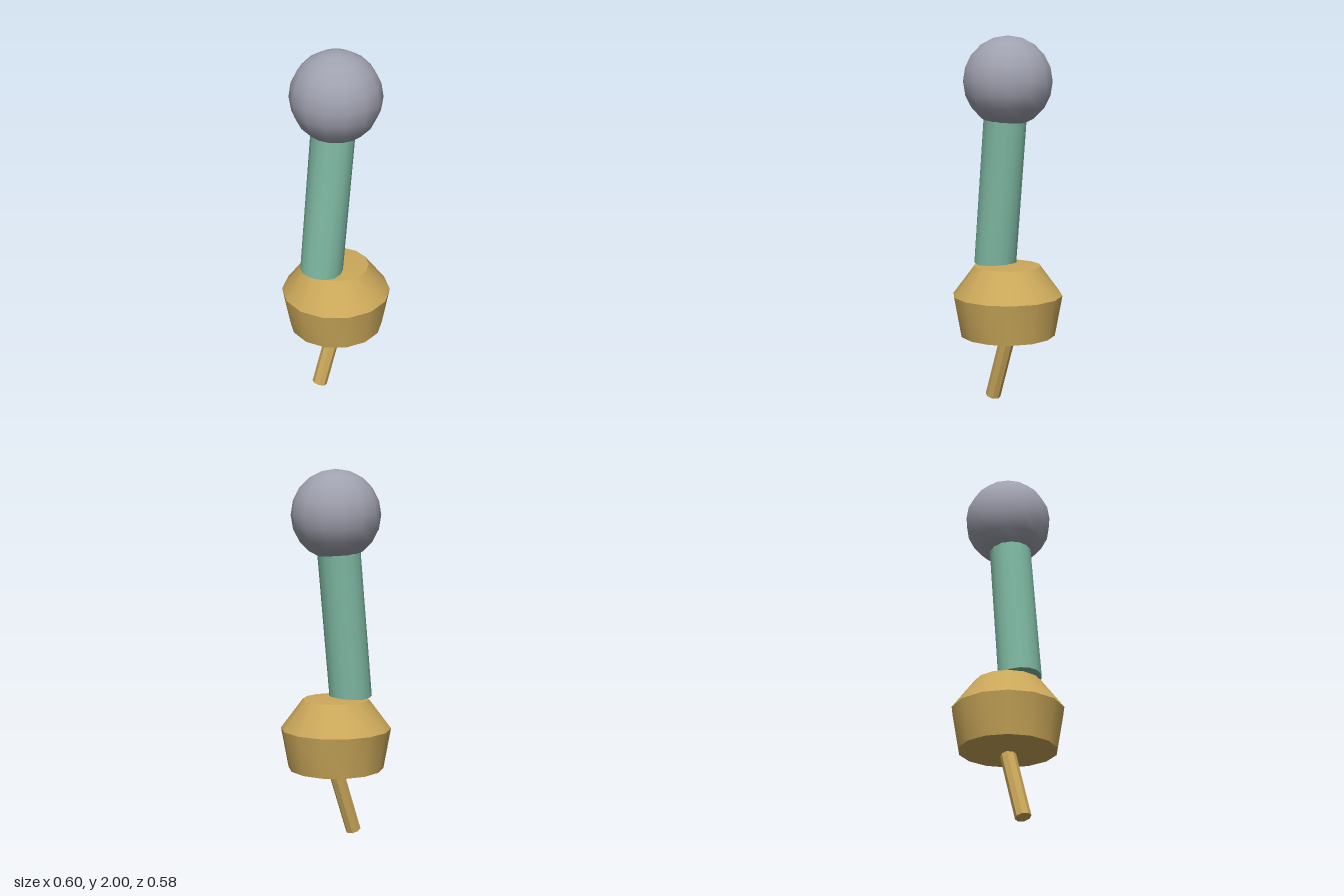
import * as THREE from 'three';
import { toCreasedNormals } from 'three/addons/utils/BufferGeometryUtils.js';

const SIDES = 14;
const CREASE = Math.PI / 6;

const material = (name, color) => {
  const m = new THREE.MeshStandardMaterial({ color });
  m.name = name;
  return m;
};

const addPart = (group, name, geometry, mat) => {
  const mesh = new THREE.Mesh(geometry, mat);
  mesh.name = name;
  group.add(mesh);
  return mesh;
};

// Straight rod between two points, one corner pointing along x
const rod = (from, to, radius, sides) => {
  const axis = to.clone().sub(from);
  const g = new THREE.CylinderGeometry(radius, radius, axis.length(), sides);
  g.rotateY(Math.PI / 2);
  g.rotateX(Math.atan2(axis.z, axis.y));
  const mid = from.clone().add(to).multiplyScalar(0.5);
  g.translate(mid.x, mid.y, mid.z);
  return toCreasedNormals(g, CREASE);
};

export function createModel() {
  const group = new THREE.Group();
  const gold = material('gold', 0xcba85a);
  const green = material('green', 0x7fbaa3);
  const grey = material('grey', 0xa0a1af);

  // Ball on top
  const ball = addPart(group, 'ball', new THREE.SphereGeometry(0.24, SIDES, 10), grey);
  ball.position.y = 1.76;

  // Leaning shaft, aimed at the ball's centre
  addPart(group, 'shaft',
    rod(new THREE.Vector3(0, 0.77, 0.1), new THREE.Vector3(0, 1.65, 0.011), 0.116, SIDES), green);

  // Collar with bevelled shoulder and slightly domed ends
  const profile = [[0, 0.375], [0.26, 0.39], [0.3, 0.61], [0.18, 0.77], [0, 0.78]]
    .map(([x, y]) => new THREE.Vector2(x, y));
  const collar = new THREE.LatheGeometry(profile, SIDES, Math.PI / 2);
  addPart(group, 'collar', toCreasedNormals(collar, CREASE), gold);

  // Thin slanted pin below
  addPart(group, 'pin',
    rod(new THREE.Vector3(0, 0.015, 0.12), new THREE.Vector3(0, 0.37, 0), 0.042, 8), gold);

  return group;
}
